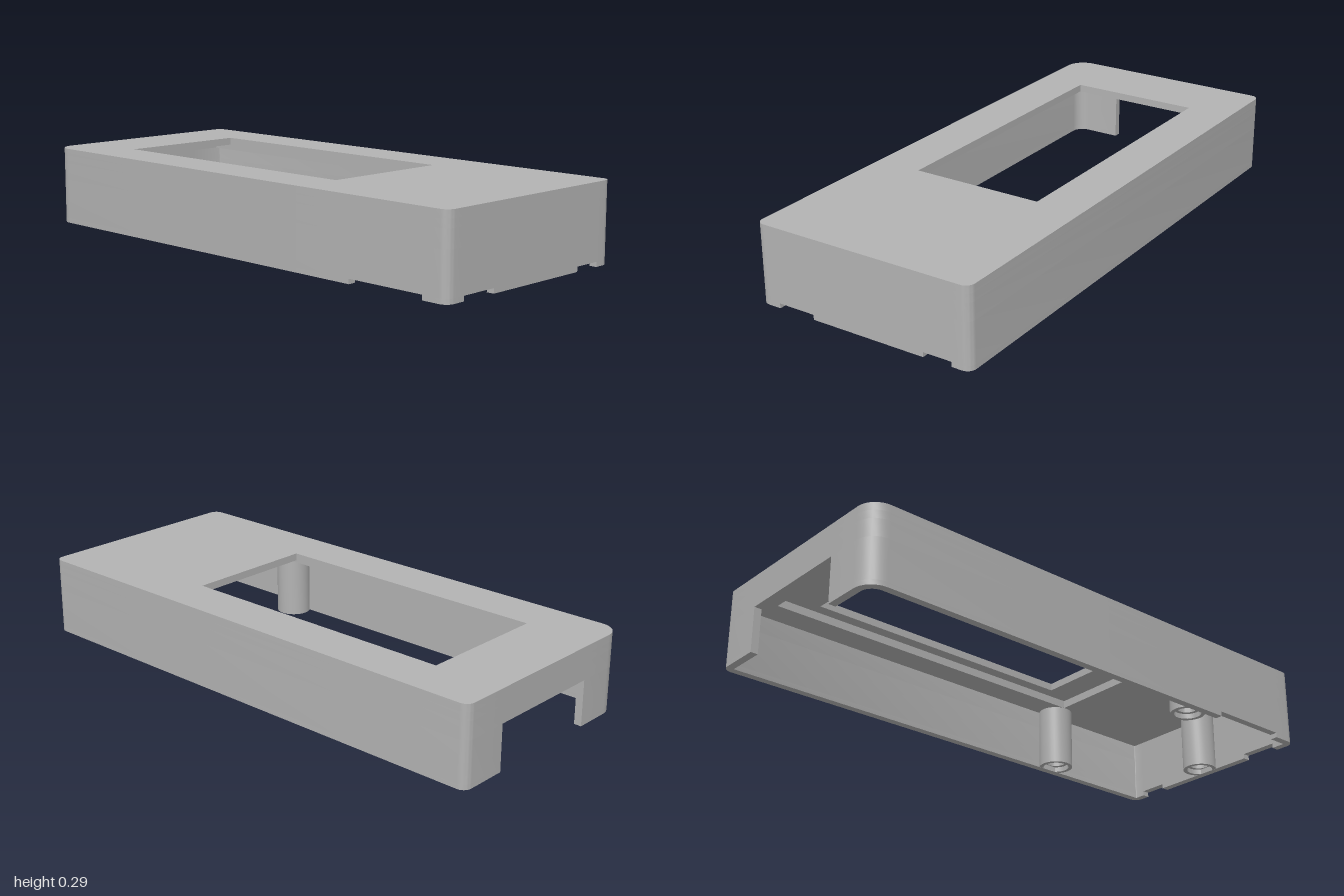
import * as THREE from 'three';
import { toCreasedNormals } from 'three/addons/utils/BufferGeometryUtils.js';

const W = 0.426, D = 1, WALL = 0.028;
const HEIGHT = 0.293, NOTCH_TOP = 0.018, PORT_TOP = 0.17, CEILING = 0.235, LEDGE = 0.265;

export function createModel() {
  const group = new THREE.Group();
  const grey = new THREE.MeshStandardMaterial({ color: 0xb3b3b3 });
  grey.name = 'grey plastic';

  const add = (name, geometry) => {
    const mesh = new THREE.Mesh(toCreasedNormals(geometry, 0.5), grey);
    mesh.name = name;
    group.add(mesh);
    return mesh;
  };

  // Extrude a plan outline (x, z) between two heights
  const slab = (name, outline, y0, y1, hole) => {
    const shape = new THREE.Shape(outline);
    if (hole) shape.holes.push(new THREE.Path(hole));
    const g = new THREE.ExtrudeGeometry(shape, { depth: y1 - y0, bevelEnabled: false });
    g.rotateX(Math.PI / 2);
    g.translate(0, y1, 0);
    return add(name, g);
  };
  const rect = (x, z0, z1) => [[-x, z0], [x, z0], [x, z1], [-x, z1]].map(p => new THREE.Vector2(...p));

  // Paired outer and inner wall outlines, walked round the plan
  const outer = [], inner = [], marks = [];
  const mark = (x, z, nx, nz) => {
    marks.push(outer.length);
    outer.push(new THREE.Vector2(x, z));
    inner.push(new THREE.Vector2(x - nx * WALL, z - nz * WALL));
  };
  const corner = (sx, sz, r, start) => {
    const cx = sx * (W - r), cz = sz * (D - r);
    for (let i = 0; i <= 8; i++) {
      const a = start + i / 8 * Math.PI / 2, c = Math.cos(a), s = Math.sin(a);
      outer.push(new THREE.Vector2(cx + c * r, cz + s * r));
      inner.push(new THREE.Vector2(cx + c * (r - WALL), cz + s * (r - WALL)));
    }
  };
  mark(0.243, -D, 0, -1);
  corner(1, -1, 0.032, -Math.PI / 2);
  corner(1, 1, 0.032, 0);
  for (const x of [0.355, 0.245, -0.2, -0.345]) mark(x, D, 0, 1);
  corner(-1, 1, 0.032, Math.PI / 2);
  for (const z of [0.9, 0.59]) mark(-W, z, -1, 0);
  corner(-1, -1, 0.075, Math.PI);
  mark(-0.215, -D, 0, -1);

  const wallRun = (name, from, to, y0, y1) => {
    const a = marks[from], b = marks[to] + 1;
    slab(name, [...outer.slice(a, b), ...inner.slice(a, b).reverse()], y0, y1);
  };

  // Bottom rim broken by the small notches and the back port
  for (const [from, to] of [[0, 1], [2, 3], [4, 5], [6, 7]]) wallRun('bottomRim', from, to, 0, NOTCH_TOP);
  // Walls open at the back port, then closed above it
  wallRun('lowerWall', 0, 7, NOTCH_TOP, PORT_TOP);
  slab('upperWall', outer, PORT_TOP, CEILING, inner);
  // Roof with a recess underneath and the window opening
  slab('recessFrame', outer, CEILING, LEDGE, rect(0.295, -0.88, 0.47));
  slab('topPanel', outer, LEDGE, HEIGHT, rect(0.25, -0.735, 0.36));

  // Hollow screw posts, stepped at the mouth
  const profile = [[0, 0.15], [0.036, 0.15], [0.036, 0.02], [0.05, 0.02], [0.05, 0.001], [0.065, 0.001], [0.065, CEILING]]
    .map(p => new THREE.Vector2(...p));
  for (const [x, z] of [[-0.359, 0.48], [0.359, 0.48], [0, 0.932]]) {
    add('screwPost', new THREE.LatheGeometry(profile, 32)).position.set(x, 0, z);
  }
  return group;
}
